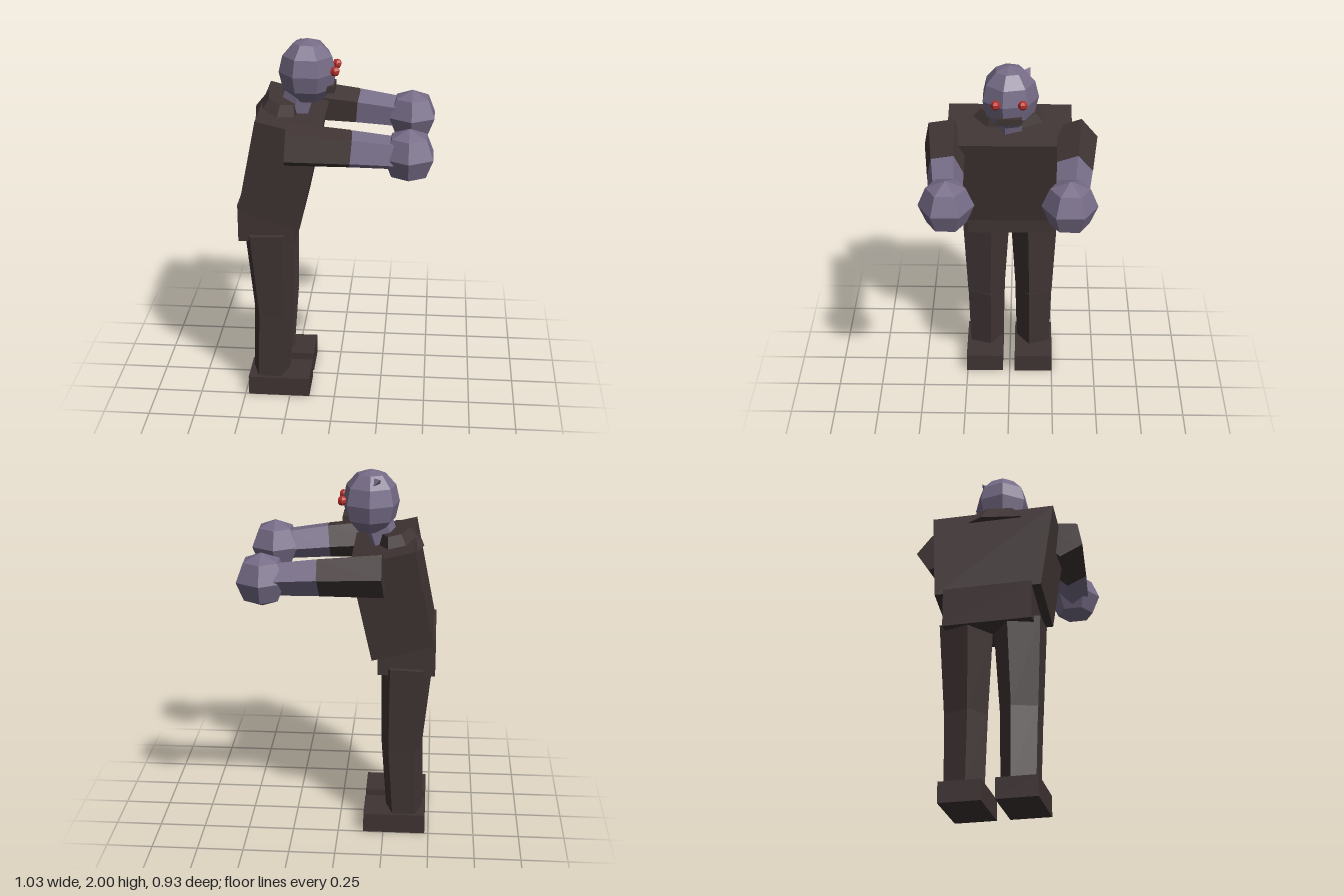
import * as THREE from 'three';

const mat = (name, color) => {
  const m = new THREE.MeshStandardMaterial({ color, flatShading: true });
  m.name = name;
  return m;
};

export function createModel() {
  const cloth = mat('dark clothing', 0x403434);
  const skin = mat('purple skin', 0x766c87);
  const red = mat('red eyes', 0xb5302a);
  const model = new THREE.Group();

  const add = (name, geo, material, pos = [0, 0, 0]) => {
    const mesh = new THREE.Mesh(geo, material);
    mesh.name = name;
    mesh.position.set(...pos);
    model.add(mesh);
    return mesh;
  };

  // Box given by its ranges along x, y and z
  const block = (name, material, [x0, x1], [y0, y1], [z0, z1]) =>
    add(name, new THREE.BoxGeometry(x1 - x0, y1 - y0, z1 - z0), material,
      [(x0 + x1) / 2, (y0 + y1) / 2, (z0 + z1) / 2]);

  // Tapered five-sided limb between two points, rolled about its own axis
  const limb = (name, material, a, ra, b, rb, roll) => {
    const p = new THREE.Vector3(...a), q = new THREE.Vector3(...b);
    const dir = q.clone().sub(p);
    const geo = new THREE.CylinderGeometry(rb, ra, dir.length(), 5).rotateY(roll);
    const mesh = add(name, geo, material, p.add(q).multiplyScalar(0.5).toArray());
    mesh.quaternion.setFromUnitVectors(new THREE.Vector3(0, 1, 0), dir.normalize());
  };

  // Torso: a box leaning forward, wider at the shoulders
  const torso = new THREE.BoxGeometry(1, 1, 1);
  const v = torso.attributes.position;
  for (let i = 0; i < v.count; i++) {
    const front = v.getX(i) > 0, top = v.getY(i) > 0, side = Math.sign(v.getZ(i));
    const [x, y] = top
      ? (front ? [-0.066, 1.575] : [-0.396, 1.655])
      : (front ? [-0.18, 1.04] : [-0.505, 1.13]);
    v.setXYZ(i, x, y, side * (top ? 0.333 : 0.283));
  }
  torso.computeVertexNormals();
  add('torso', torso, cloth);
  block('hips', cloth, [-0.515, -0.21], [0.94, 1.15], [-0.235, 0.235]);

  // Collar and neck
  const collar = add('collar', new THREE.CylinderGeometry(0.62, 1, 0.11, 7), cloth, [-0.3, 1.63, 0]);
  collar.scale.set(0.135, 1, 0.25);
  collar.rotation.z = -0.24;
  limb('neck', skin, [-0.24, 1.58, 0], 0.08, [-0.19, 1.74, 0], 0.08, 0);

  // Head with a small bump on the crown
  const head = add('head', new THREE.SphereGeometry(0.154, 7, 6, -Math.PI / 2), skin, [-0.156, 1.825, 0]);
  head.scale.y = 1.136;
  add('headBump', new THREE.TetrahedronGeometry(0.03), skin, [-0.19, 1.95, -0.09]);
  block('mouth', cloth, [-0.06, -0.012], [1.725, 1.762], [-0.065, 0.068]);

  for (const s of [1, -1]) {
    const side = s > 0 ? 'left' : 'right';
    add(side + 'Eye', new THREE.SphereGeometry(0.026, 6, 5, Math.PI / 2), red, [-0.009, 1.845, s * 0.07]);

    // Legs: flat face outward, ridge inward
    const legRoll = s > 0 ? Math.PI : 0;
    limb(side + 'Thigh', cloth, [-0.342, 0.49, s * 0.149], 0.117, [-0.363, 0.98, s * 0.148], 0.147, legRoll);
    limb(side + 'Shin', cloth, [-0.363, 0.1, s * 0.147], 0.107, [-0.343, 0.495, s * 0.148], 0.117, legRoll);
    block(side + 'Foot', cloth, [-0.48, -0.14], [0, 0.11], s > 0 ? [0.04, 0.255] : [-0.25, -0.03]);

    // Arms stretched forward, ending in round hands
    const armRoll = s > 0 ? -0.75 : Math.PI;
    limb(side + 'UpperArm', cloth, [-0.24, 1.54, s * 0.355], 0.118, [0.09, 1.518, s * 0.335], 0.102, armRoll);
    limb(side + 'Forearm', skin, [0.09, 1.518, s * 0.335], 0.101, [0.36, 1.493, s * 0.315], 0.087, armRoll);
    add(side + 'Hand', new THREE.SphereGeometry(0.143, 6, 4, Math.PI / 2), skin, [0.388, 1.488, s * 0.311]);
  }
  return model;
}
